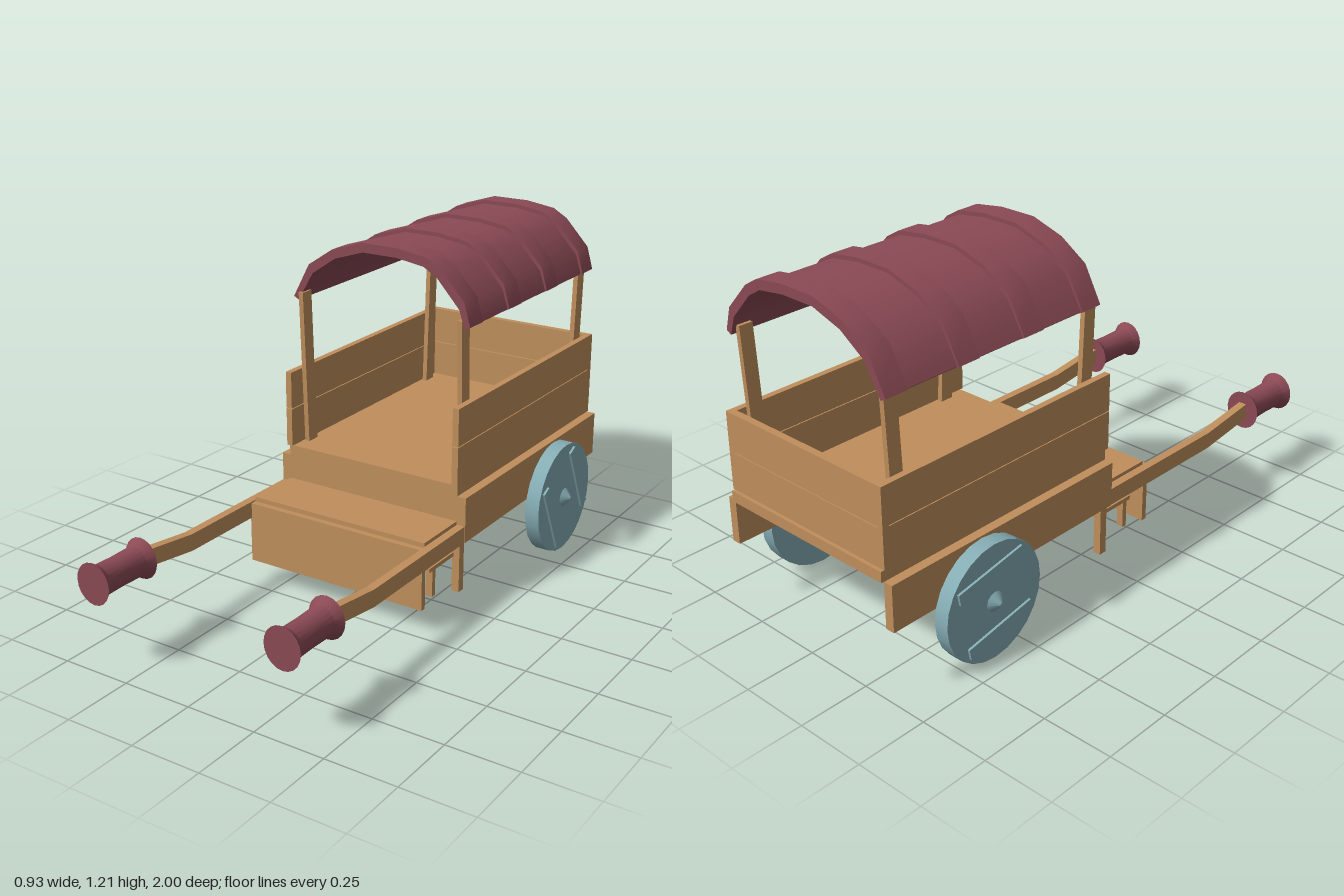
import * as THREE from 'three';
import { toCreasedNormals } from 'three/addons/utils/BufferGeometryUtils.js';

const mat = (color) => new THREE.MeshStandardMaterial({ color, side: THREE.DoubleSide });

export function createModel() {
  const root = new THREE.Group();
  root.name = 'handcart';
  const wood = mat(0xc08f5c), cloth = mat(0x8b4a55), blue = mat(0x85adb4);

  const add = (name, geometry, material, parent = root) => {
    const m = new THREE.Mesh(geometry, material);
    m.name = name;
    parent.add(m);
    return m;
  };
  // box given by its limits on each axis
  const box = (name, x0, x1, y0, y1, z0, z1, material = wood, parent = root) => {
    const m = add(name, new THREE.BoxGeometry(Math.abs(x1 - x0), y1 - y0, z1 - z0), material, parent);
    m.position.set((x0 + x1) / 2, (y0 + y1) / 2, (z0 + z1) / 2);
    return m;
  };
  const poly = (pts) => new THREE.Shape(pts.map(([x, y]) => new THREE.Vector2(x, y)));

  // bed and back wall
  box('floor', -0.345, 0.345, 0.412, 0.45, -1, 0);
  box('backPlankLower', -0.35, 0.35, 0.452, 0.586, -0.99, -0.965);
  box('backPlankUpper', -0.35, 0.35, 0.589, 0.725, -0.99, -0.965);

  // front seat, step and boards
  box('riser', -0.335, 0.335, 0.19, 0.412, -0.02, 0);
  box('seat', -0.345, 0.345, 0.305, 0.322, 0, 0.208);
  box('frontPanel', -0.35, 0.35, 0.087, 0.305, 0.208, 0.229);
  box('stepPlank', -0.335, 0.335, 0.19, 0.205, 0, 0.155);

  for (const s of [1, -1]) {
    // side walls, rails and supports
    box('sidePlankLower', s * 0.327, s * 0.35, 0.452, 0.589, -0.99, 0.01);
    box('sidePlankUpper', s * 0.327, s * 0.35, 0.592, 0.725, -0.99, 0.01);
    box('sideRail', s * 0.345, s * 0.378, 0.25, 0.412, -0.99, 0);
    box('frontLeg', s * 0.33, s * 0.358, 0.06, 0.412, -0.03, 0);
    box('stepFoot', s * 0.31, s * 0.335, 0.095, 0.19, 0.118, 0.137);

    // slanted canopy posts, leaning outwards along the cart
    for (const [zb, zt, name] of [[-0.09, -0.065, 'frontPost'], [-0.895, -0.918, 'backPost']]) {
      const g = new THREE.ExtrudeGeometry(
        poly([[zb - 0.025, 0.45], [zb + 0.025, 0.45], [zt + 0.025, 1.005], [zt - 0.025, 1.005]]),
        { depth: 0.018, bevelEnabled: false });
      g.rotateY(-Math.PI / 2);
      add(name, g, wood).position.x = s * 0.316 + 0.009;
    }

    // pulling shaft, kinked upwards towards the grip
    const shaft = new THREE.ExtrudeGeometry(
      poly([[0, 0.25], [0.55, 0.25], [0.8, 0.283], [0.8, 0.342], [0.55, 0.31], [0, 0.31]]),
      { depth: 0.03, bevelEnabled: false });
    shaft.rotateY(-Math.PI / 2);
    add('shaft', shaft, wood).position.x = s * 0.361 + 0.015;

    // spool-shaped grip
    const profile = [[0, 0], [0.072, 0], [0.053, 0.028], [0.051, 0.11], [0.053, 0.192], [0.072, 0.22], [0, 0.22]]
      .map(([r, h]) => new THREE.Vector2(r, h));
    const grip = toCreasedNormals(new THREE.LatheGeometry(profile, 20).rotateX(Math.PI / 2).scale(0.91, 1, 1), 0.6);
    add('grip', grip, cloth).position.set(s * 0.361, 0.312, 0.78);

    // wheel with hub cap and two raised slats
    const wheel = new THREE.Group();
    wheel.name = s > 0 ? 'leftWheel' : 'rightWheel';
    wheel.position.set(s * 0.411, 0.206, -0.628);
    root.add(wheel);
    const disc = new THREE.CylinderGeometry(0.205, 0.205, 0.053, 24).rotateZ(Math.PI / 2);
    add('disc', disc, blue, wheel);
    const hub = new THREE.CylinderGeometry(0.005, 0.036, 0.028, 12).rotateZ(-s * Math.PI / 2);
    add('hubCap', hub, blue, wheel).position.x = s * 0.04;
    const slats = new THREE.Group();
    slats.name = 'slats';
    slats.rotation.x = s > 0 ? -1.13 : -0.18;
    wheel.add(slats);
    for (const o of [0.11, -0.11])
      box('slat', s * 0.02, s * 0.035, o - 0.02, o + 0.02, -0.14, 0.14, blue, slats);

    // axle hanger below the bed
    const collar = new THREE.CylinderGeometry(0.042, 0.042, 0.02, 16).rotateZ(Math.PI / 2);
    add('axleCollar', collar, wood).position.set(s * 0.28, 0.206, -0.628);
    box('axleHanger', s * 0.27, s * 0.29, 0.206, 0.412, -0.65, -0.606);
    const bush = new THREE.CylinderGeometry(0.026, 0.026, 0.03, 12).rotateZ(Math.PI / 2);
    add('axleBush', bush, wood).position.set(s * 0.37, 0.206, -0.628);
  }

  const axle = new THREE.CylinderGeometry(0.018, 0.018, 0.8, 12).rotateZ(Math.PI / 2);
  add('axle', axle, wood).position.set(0, 0.206, -0.628);

  // arched canopy with four raised bands
  const arch = [[-0.345, 0.985], [-0.282, 1.092], [-0.185, 1.158], [-0.068, 1.196], [0.068, 1.196],
    [0.178, 1.18], [0.232, 1.148], [0.32, 1.052], [0.343, 0.985]];
  const vault = (name, grow, z0, z1) => {
    const outer = arch.map(([x, y]) => [x * (1 + grow), y + grow * 0.7 * (y > 1 ? 1 : 0)]);
    const inner = arch.map(([x, y]) => [x * 0.962, 0.975 + (y - 0.985) * 0.96]).reverse();
    const g = new THREE.ExtrudeGeometry(poly([...outer, ...inner]), { depth: z1 - z0, bevelEnabled: false });
    add(name, toCreasedNormals(g, 0.75), cloth).position.z = z0;
  };
  vault('canopy', 0, -0.955, -0.052);
  for (const [z0, z1] of [[-0.135, -0.05], [-0.4, -0.315], [-0.675, -0.59], [-0.958, -0.875]])
    vault('canopyBand', 0.02, z0, z1);

  return root;
}
